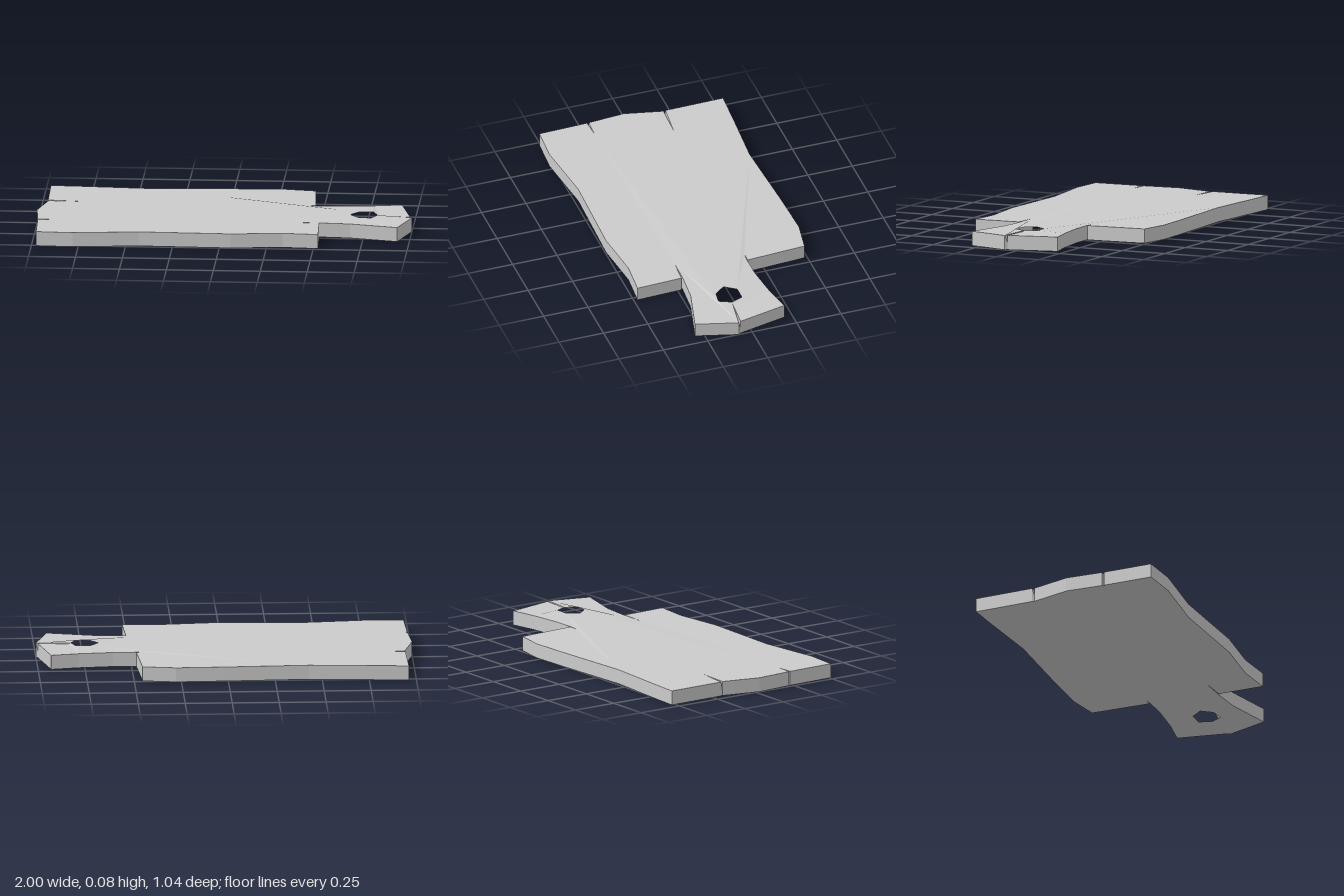
import * as THREE from 'three';

// Outline as [x, z]; a third value is where a crack's tip sits on the underside.
const outline = [
  [-0.96, -0.525], [-0.78, -0.515], [-0.43, -0.49], [0.02, -0.512], [0.28, -0.52], [0.455, -0.49],
  [0.475, -0.164], [0.42, -0.163], [0.475, -0.159],
  [0.6, -0.16], [0.78, -0.18], [0.93, -0.21],
  [0.99, 0.057], [0.83, 0.045, 0.98], [1, 0.07],
  [0.935, 0.295], [0.68, 0.23], [0.515, 0.217], [0.365, 0.215], [0.515, 0.223],
  [0.525, 0.475], [0.335, 0.46], [0.06, 0.49], [-0.43, 0.475], [-0.78, 0.515], [-0.975, 0.503],
  [-0.983, 0.232], [-0.88, 0.228, -0.975], [-0.984, 0.222],
  [-1, 0.02],
  [-0.952, -0.187], [-0.77, -0.18, -0.945], [-0.955, -0.2],
];
const hole = [[0.67, 0.042], [0.715, -0.02], [0.79, -0.02], [0.815, 0.045], [0.785, 0.11], [0.715, 0.1]];

const toPoints = (list) => list.map(([x, z]) => new THREE.Vector2(x, -z));
const isAt = (x, z) => (p) => Math.hypot(p[0] - x, p[1] - z) < 1e-4;

export function createModel() {
  const group = new THREE.Group();
  group.name = 'cuttingBoard';

  const shape = new THREE.Shape(toPoints(outline));
  shape.holes.push(new THREE.Path(toPoints(hole)));
  const geometry = new THREE.ExtrudeGeometry(shape, { depth: 0.08, bevelEnabled: false });
  geometry.rotateX(-Math.PI / 2);

  // Cracks close towards the underside; the top swells slightly around the hole.
  const pos = geometry.attributes.position;
  for (let i = 0; i < pos.count; i++) {
    const x = pos.getX(i), z = pos.getZ(i);
    if (pos.getY(i) > 0.04) {
      if (hole.some(isAt(x, z))) pos.setY(i, 0.085);
    } else {
      const crack = outline.find((p) => p.length === 3 && isAt(x, z)(p));
      if (crack) pos.setX(i, crack[2]);
      pos.setY(i, 0.003);
    }
  }
  geometry.translate(0, -0.003, 0.005);
  geometry.computeVertexNormals();

  const board = new THREE.Mesh(
    geometry,
    new THREE.MeshStandardMaterial({ color: 0xcccccc, flatShading: true }),
  );
  board.name = 'boardWithHandle';
  group.add(board);
  return group;
}
